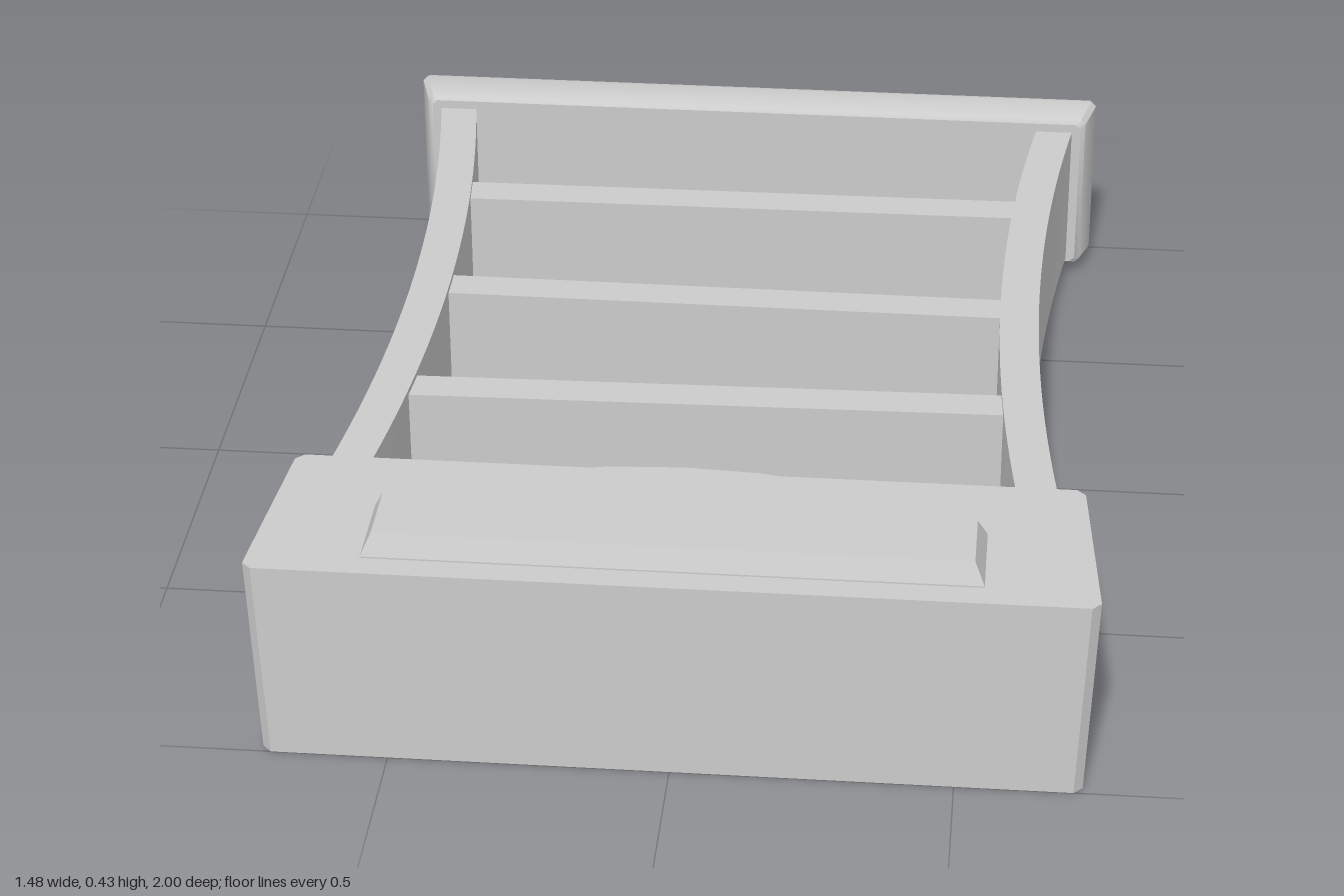
import * as THREE from 'three';
import { toCreasedNormals } from 'three/addons/utils/BufferGeometryUtils.js';

const material = new THREE.MeshStandardMaterial({ color: 0xcccccc });

// Solid skinned through rings of [u, v] points at heights w (counter-clockwise seen from +w).
function loft(rings, crease = 0.4) {
  const pos = [];
  const put = (r, j) => {
    const [u, v] = r.points[j % r.points.length];
    pos.push(u, v, r.w);
  };
  for (let i = 0; i < rings.length - 1; i++) {
    const a = rings[i], b = rings[i + 1];
    for (let j = 0; j < a.points.length; j++) {
      put(a, j); put(a, j + 1); put(b, j + 1);
      put(a, j); put(b, j + 1); put(b, j);
    }
  }
  const cap = (r, flip) => {
    const contour = r.points.map(([u, v]) => new THREE.Vector2(u, v));
    for (const [a, b, c] of THREE.ShapeUtils.triangulateShape(contour, [])) {
      (flip ? [a, c, b] : [a, b, c]).forEach(j => put(r, j));
    }
  };
  cap(rings[0], true);
  cap(rings[rings.length - 1], false);
  const geo = new THREE.BufferGeometry();
  geo.setAttribute('position', new THREE.Float32BufferAttribute(pos, 3));
  return toCreasedNormals(geo, crease);
}

// Four corners with small chamfers; half-widths differ at the low and high v ends.
function chamferedRing(w, halfLow, halfHigh, v0, v1, c) {
  const right = [[halfLow - c, v0], [halfLow, v0 + c], [halfHigh, v1 - c], [halfHigh - c, v1]];
  const left = right.map(([u, v]) => [-u, v]).reverse();
  return { w, points: [...right, ...left] };
}

// Waisted outline of the tray sides.
const zBack = -0.89, zFront = 0.64, steps = 24, wall = 0.075;
const outerX = z => 0.615 + 0.055 * ((z + 0.125) / 0.75) ** 2;
const zs = Array.from({ length: steps + 1 }, (_, i) => zBack + (zFront - zBack) * i / steps);

// Horizontal slab from [x, z] outline points.
function slab(outline, y0, y1) {
  const shape = new THREE.Shape(outline.map(([x, z]) => new THREE.Vector2(x, z)));
  const geo = new THREE.ExtrudeGeometry(shape, { depth: y1 - y0, bevelEnabled: false });
  geo.rotateX(Math.PI / 2).translate(0, y1, 0);
  return toCreasedNormals(geo, 0.4);
}

export function createModel() {
  const group = new THREE.Group();
  const add = (name, geo) => {
    const mesh = new THREE.Mesh(geo, material);
    mesh.name = name;
    group.add(mesh);
    return mesh;
  };

  // Curved side walls
  for (const s of [1, -1]) {
    const outer = zs.map(z => [s * outerX(z), z]);
    const inner = zs.map(z => [s * (outerX(z) - wall), z]).reverse();
    add(s > 0 ? 'leftWall' : 'rightWall', slab([...outer, ...inner], 0.04, 0.34));
  }

  // Floor between the walls
  const edge = zs.map(z => [outerX(z) - wall / 2, z]);
  add('floor', slab([...edge, ...edge.map(([x, z]) => [-x, z]).reverse()], 0.04, 0.07));

  // Cross dividers, each very slightly askew
  [[-0.53, 0.009], [-0.125, -0.006], [0.255, 0.02]].forEach(([z, turn], i) => {
    const length = 2 * (outerX(z) - wall / 2);
    const divider = add('divider' + (i + 1), new THREE.BoxGeometry(length, 0.28, 0.072));
    divider.position.set(0, 0.19, z);
    divider.rotation.y = turn;
  });

  // Front block, flared towards the top and the front
  add('frontBlock', loft([
    chamferedRing(0, 0.725, 0.695, -1, -0.622, 0.016),
    chamferedRing(0.387, 0.74, 0.71, -1, -0.622, 0.016),
  ]).rotateX(-Math.PI / 2));

  // Raised panel with an arched rear edge
  const arch = [[0.54, 0.785], [0.52, 0.762], [0.41, 0.738], [0.28, 0.692], [0.14, 0.663]];
  const panelRing = (w, scale, inset) => {
    const right = [[0.54, 0.952 - inset], ...arch.map(([x, z]) => [x, z + inset])]
      .map(([x, z]) => [x * scale, -z]);
    const left = right.map(([u, v]) => [-u, v]).reverse();
    return { w, points: [...right, [0, -0.655 - inset], ...left] };
  };
  add('raisedPanel', loft([
    panelRing(0.38, 1, 0),
    panelRing(0.39, 1, 0),
    panelRing(0.428, 0.967, 0.018),
  ], 0.3).rotateX(-Math.PI / 2));

  // Rear rail: splayed sides and a broad bevel around the back face
  add('rearRail', loft([
    chamferedRing(-1, 0.648, 0.648, 0.095, 0.305, 0.006),
    chamferedRing(-0.964, 0.715, 0.715, 0.023, 0.372, 0.008),
    chamferedRing(-0.95, 0.719, 0.719, 0.02, 0.376, 0.01),
    chamferedRing(-0.882, 0.698, 0.698, 0.026, 0.366, 0.01),
    chamferedRing(-0.873, 0.688, 0.688, 0.032, 0.358, 0.01),
  ], 0.6));

  return group;
}
